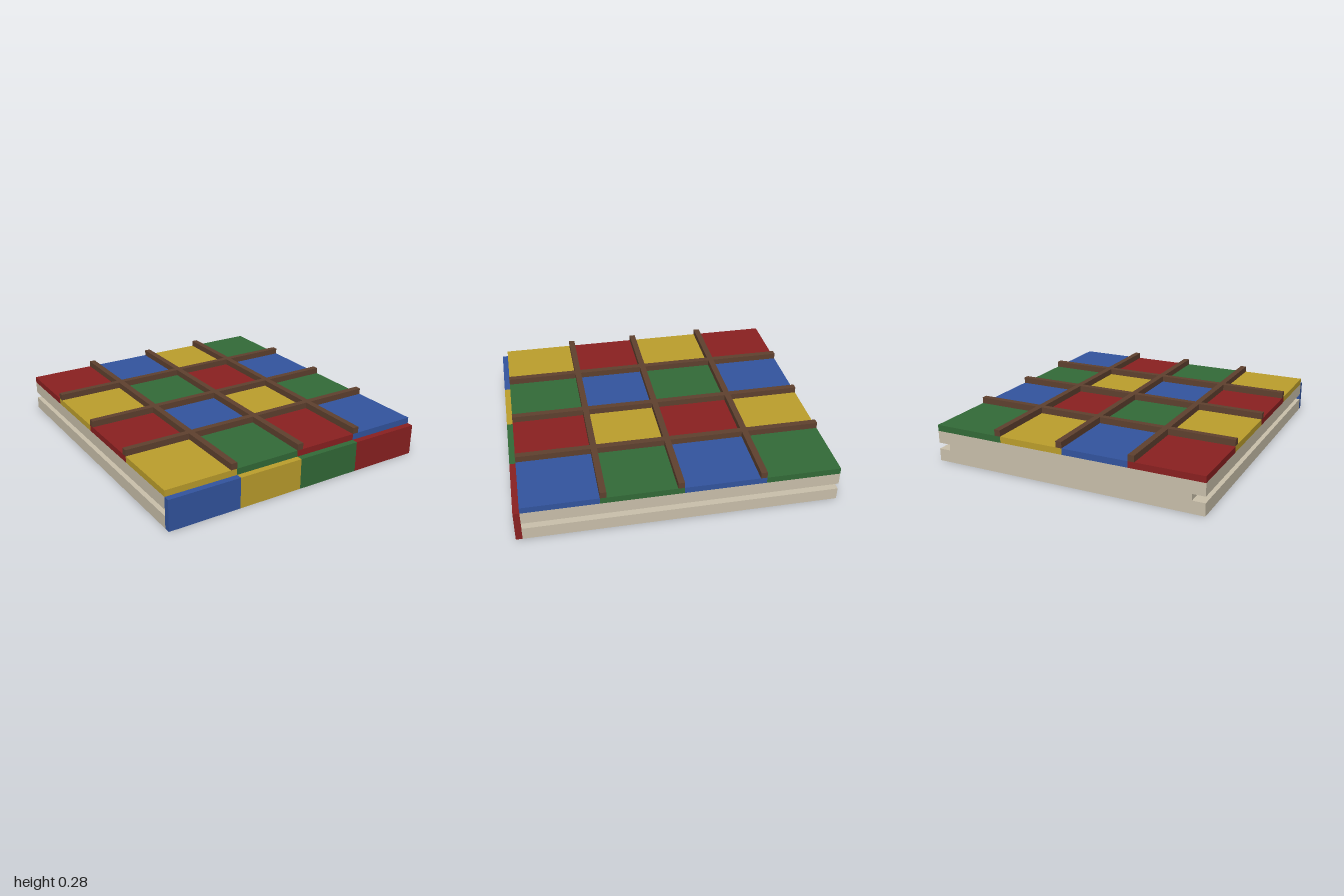
import * as THREE from 'three';

export function createModel() {
  const model = new THREE.Group();
  model.name = 'tiledPanel';

  const material = (name, color) => {
    const m = new THREE.MeshStandardMaterial({ color });
    m.name = name;
    return m;
  };
  const red = material('red', 0x8b2121);
  const blue = material('blue', 0x3355a0);
  const yellow = material('yellow', 0xbd9f2c);
  const green = material('green', 0x336b38);
  const brown = material('brown', 0x5f412f);
  const beige = material('beige', 0xcbc1ac);

  // Box given by its opposite corners
  const addBox = (name, mat, [x0, y0, z0], [x1, y1, z1]) => {
    const mesh = new THREE.Mesh(new THREE.BoxGeometry(x1 - x0, y1 - y0, z1 - z0), mat);
    mesh.position.set((x0 + x1) / 2, (y0 + y1) / 2, (z0 + z1) / 2);
    mesh.name = name;
    model.add(mesh);
  };

  const X = 0.9, back = -1, front = 0.96, groove = 0.82;

  // Base slab with a groove along each side
  const profile = new THREE.Shape([
    [-X, 0], [X, 0], [X, 0.08], [groove, 0.08], [groove, 0.12], [X, 0.12],
    [X, 0.2], [-X, 0.2], [-X, 0.12], [-groove, 0.12], [-groove, 0.08], [-X, 0.08],
  ].map(([x, y]) => new THREE.Vector2(x, y)));
  const slab = new THREE.Mesh(
    new THREE.ExtrudeGeometry(profile, { depth: front - back, bevelEnabled: false }), beige);
  slab.position.z = back;
  slab.name = 'baseSlab';
  model.add(slab);

  // Front panels
  const xs = [-X, -0.43, 0, 0.43, X];
  [blue, yellow, green, red].forEach((mat, i) =>
    addBox('frontPanel', mat, [xs[i], 0, front], [xs[i + 1], 0.2, 1]));

  // Top tiles, two alternating rows from back to front
  const zs = [back, -0.53, -0.02, 0.49, front];
  const rows = [[red, blue, yellow, green], [yellow, green, red, blue]];
  for (let r = 0; r < 4; r++) {
    rows[r % 2].forEach((mat, c) =>
      addBox('tile', mat, [xs[c], 0.2, zs[r]], [xs[c + 1], 0.24, zs[r + 1]]));
  }

  // Divider strips: three lengthwise, three crosswise
  for (const x of [-0.47, 0, 0.43])
    addBox('lengthwiseStrip', brown, [x, 0.24, back], [x + 0.04, 0.28, front]);
  for (const z of [-0.53, -0.02, 0.45])
    addBox('crosswiseStrip', brown, [-X, 0.24, z], [X, 0.28, z + 0.04]);

  return model;
}
